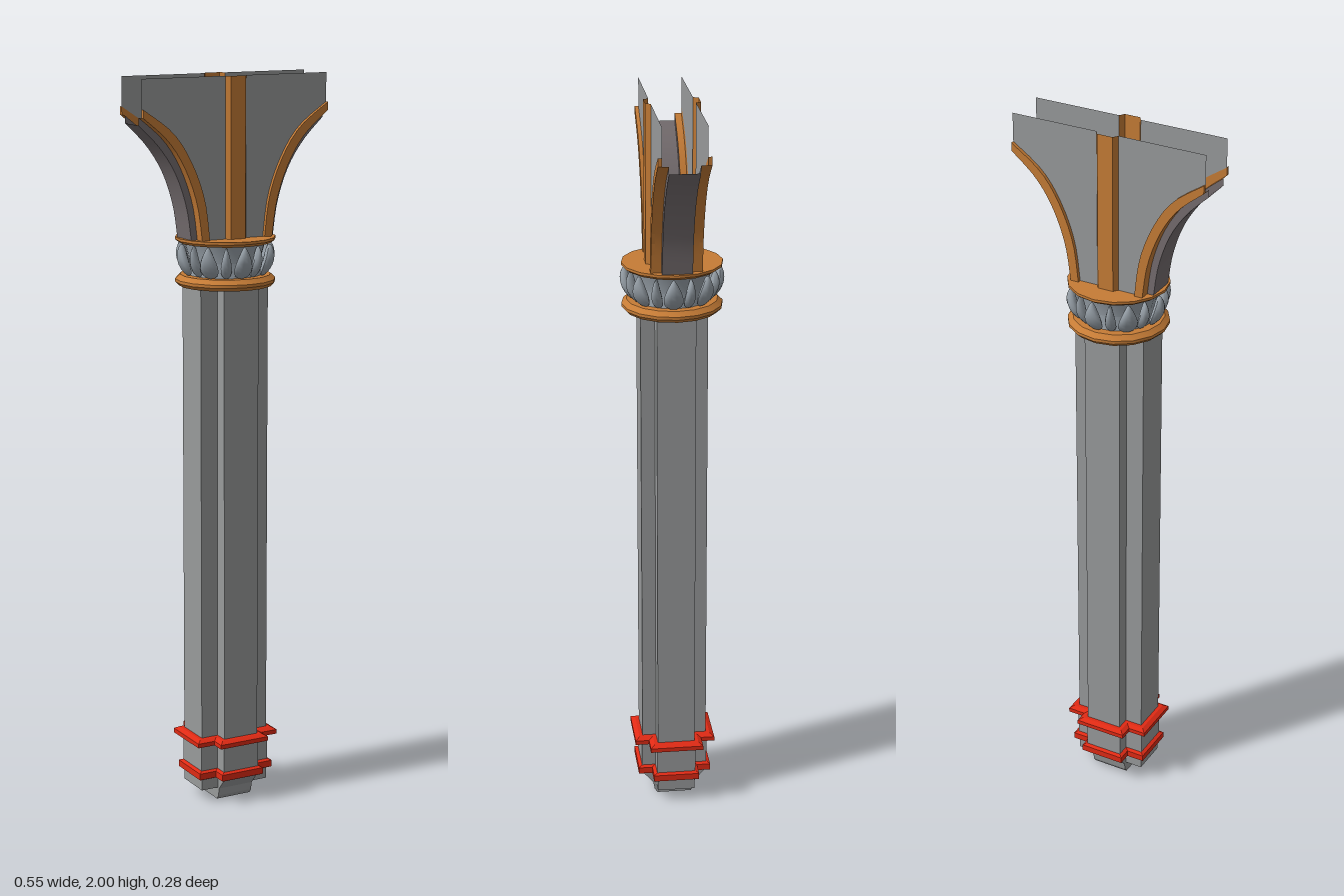
import * as THREE from 'three';
import { toCreasedNormals } from 'three/addons/utils/BufferGeometryUtils.js';

const makeMat = (name, color, side = THREE.FrontSide) => {
  const m = new THREE.MeshStandardMaterial({ color, side });
  m.name = name;
  return m;
};

// Cross-shaped outline, counter-clockwise in (x, z), grown outward by d
function crossOutline(d) {
  const X = 0.102 + d, Z = 0.09 + d, a = 0.052 + d;
  const quarter = [[X, a], [a, a], [a, Z]];
  const flip = (sx, sz) => quarter.map(([x, z]) => new THREE.Vector2(x * sx, z * sz));
  return [...flip(1, 1), ...flip(-1, 1).reverse(), ...flip(-1, -1), ...flip(1, -1).reverse()];
}

// Stacks cross outlines; levels are [y, growth] from bottom to top
function crossLoft(levels) {
  const pos = [];
  const rings = levels.map(([y, d]) => crossOutline(d).map((p) => [p.x, y, p.y]));
  const tri = (a, b, c) => pos.push(...a, ...b, ...c);
  for (let k = 0; k + 1 < rings.length; k++) {
    const lo = rings[k], hi = rings[k + 1], n = lo.length;
    for (let i = 0; i < n; i++) {
      const j = (i + 1) % n;
      tri(lo[i], hi[i], hi[j]);
      tri(lo[i], hi[j], lo[j]);
    }
  }
  const faces = THREE.ShapeUtils.triangulateShape(crossOutline(levels[0][1]), []);
  const top = rings[rings.length - 1];
  for (const [a, b, c] of faces) {
    tri(rings[0][a], rings[0][b], rings[0][c]);
    tri(top[a], top[c], top[b]);
  }
  const g = new THREE.BufferGeometry();
  g.setAttribute('position', new THREE.Float32BufferAttribute(pos, 3));
  g.computeVertexNormals();
  return g;
}

const toPoints = (pts) => pts.map(([x, y]) => new THREE.Vector2(x, y));
const curve = (pts) => new THREE.SplineCurve(toPoints(pts)).getPoints(14);

// Open strip following a line of points between two depths
function strip(pts, z0, z1) {
  const pos = [];
  for (let i = 0; i + 1 < pts.length; i++) {
    const p = pts[i], q = pts[i + 1];
    pos.push(p.x, p.y, z0, p.x, p.y, z1, q.x, q.y, z1, p.x, p.y, z0, q.x, q.y, z1, q.x, q.y, z0);
  }
  const g = new THREE.BufferGeometry();
  g.setAttribute('position', new THREE.Float32BufferAttribute(pos, 3));
  g.computeVertexNormals();
  return toCreasedNormals(g, 0.6);
}

// Spade-shaped leaf, broad low down, with a pointed tip curling outward
function leafGeometry(width, height) {
  const g = new THREE.SphereGeometry(1, 10, 10);
  const p = g.attributes.position;
  for (let i = 0; i < p.count; i++) {
    const t = (p.getY(i) + 1) / 2;
    const narrow = 1.3 - 0.95 * t;
    p.setXYZ(i, p.getX(i) * width * narrow, t * height,
      p.getZ(i) * 0.014 + 0.02 * t * t + 0.012 * Math.sin(Math.PI * t));
  }
  g.computeVertexNormals();
  return g;
}

export function createModel() {
  const model = new THREE.Group();
  model.name = 'column';
  const stone = makeMat('stone grey', 0x989a9b, THREE.DoubleSide);
  const gold = makeMat('bronze gold', 0xc67c36, THREE.DoubleSide);
  const red = makeMat('red', 0xe02a14);
  const soffitMat = makeMat('soffit grey', 0x756d6f, THREE.DoubleSide);
  const leafMat = makeMat('leaf grey', 0x98a1a9);

  const add = (name, geo, mat, parent = model) => {
    const m = new THREE.Mesh(geo, mat);
    m.name = name;
    parent.add(m);
    return m;
  };

  // Shaft and slightly wider base
  add('shaft', crossLoft([[0.18, 0], [1.45, 0]]), stone);
  add('base', crossLoft([[0.07, 0.002], [0.18, 0.002]]), stone);
  const arm = add('baseArm', new THREE.BoxGeometry(0.204, 0.04, 0.104), stone);
  arm.position.y = 0.055;

  // Tapered foot running front to back
  const footShape = new THREE.Shape(toPoints([[-0.048, 0], [0.048, 0], [0.056, 0.012], [0.06, 0.034],
    [0.09, 0.068], [-0.09, 0.068], [-0.06, 0.034], [-0.056, 0.012]]));
  const foot = new THREE.ExtrudeGeometry(footShape, { depth: 0.104, bevelEnabled: false });
  foot.translate(0, 0, -0.052).rotateY(Math.PI / 2);
  add('foot', foot, stone);

  // Red mouldings with broad upright faces
  add('lowerMoulding', crossLoft([[0.069, 0.008], [0.071, 0.012], [0.089, 0.012], [0.093, 0.004]]), red);
  add('upperMoulding', crossLoft([[0.167, 0.01], [0.17, 0.022], [0.182, 0.022], [0.189, 0.01]]), red);

  // Capital: two sixteen-sided discs with a drum of leaves between
  const disc = (name, profile, mat) => {
    const g = new THREE.LatheGeometry(toPoints(profile), 16);
    add(name, toCreasedNormals(g, 0.5), mat);
  };
  disc('lowerDisc', [[0, 1.442], [0.125, 1.442], [0.135, 1.452], [0.135, 1.46], [0.122, 1.472], [0, 1.472]], gold);
  disc('upperDisc', [[0, 1.558], [0.124, 1.558], [0.135, 1.566], [0.135, 1.573], [0, 1.573]], gold);
  disc('drum', [[0.1, 1.47], [0.095, 1.51], [0.108, 1.558]], leafMat);

  const leaves = new THREE.Group();
  leaves.name = 'leaves';
  model.add(leaves);
  const big = leafGeometry(0.028, 0.086), small = leafGeometry(0.016, 0.085);
  for (let i = 0; i < 16; i++) {
    const a = (i * Math.PI) / 8 - 0.08;
    const wide = i % 2 === 0;
    const leaf = add(wide ? 'wideLeaf' : 'slimLeaf', wide ? big : small, leafMat, leaves);
    const r = wide ? 0.106 : 0.1;
    leaf.position.set(Math.sin(a) * r, 1.472, Math.cos(a) * r);
    leaf.rotation.y = a;
  }

  // Flared bracket curves, left half
  const inner = curve([[0.082, 1.57], [0.097, 1.68], [0.135, 1.78], [0.19, 1.86], [0.275, 1.922]]);
  const outer = curve([[0.105, 1.57], [0.12, 1.67], [0.155, 1.765], [0.205, 1.84], [0.275, 1.9]]);
  const under = curve([[0.123, 1.57], [0.137, 1.66], [0.168, 1.748], [0.215, 1.82], [0.275, 1.88]]);
  const mirror = (pts) => pts.map((p) => new THREE.Vector2(-p.x, p.y));

  // Hollow ribs with sloping cheeks, open towards the middle
  for (const f of [1, -1]) {
    const section = toPoints([[-0.031, 0.058], [-0.022, 0.072], [0.022, 0.072], [0.031, 0.058]]
      .map(([x, z]) => [x, -z * f]));
    add(f > 0 ? 'frontRib' : 'backRib', strip(section, 1.57, 2).rotateX(-Math.PI / 2), gold);
  }

  for (const s of [1, -1]) {
    const side = s > 0 ? 'left' : 'right';
    const [i, o, u] = s > 0 ? [inner, outer, under] : [inner, outer, under].map(mirror);
    add(side + 'Soffit', strip(u, -0.04, 0.04), soffitMat);
    const plate = new THREE.ShapeGeometry(new THREE.Shape([
      ...i, ...toPoints([[0.275 * s, 2], [0.031 * s, 2], [0.031 * s, 1.57]])]));
    const trim = new THREE.ExtrudeGeometry(new THREE.Shape([...i, ...[...o].reverse()]),
      { depth: 0.01, bevelEnabled: false });
    const cheek = new THREE.ShapeGeometry(new THREE.Shape([...o, ...[...u].reverse()]));
    for (const f of [1, -1]) {
      // Plate, raised gold edge, its return underneath, and the step to the soffit
      add(side + 'Plate', plate, stone).position.z = 0.058 * f;
      add(side + 'Trim', trim, gold).position.z = f > 0 ? 0.058 : -0.068;
      add(side + 'TrimReturn', strip(o, 0.04 * f, 0.068 * f), gold);
      add(side + 'SoffitStep', cheek, soffitMat).position.z = 0.04 * f;
    }
  }
  return model;
}
